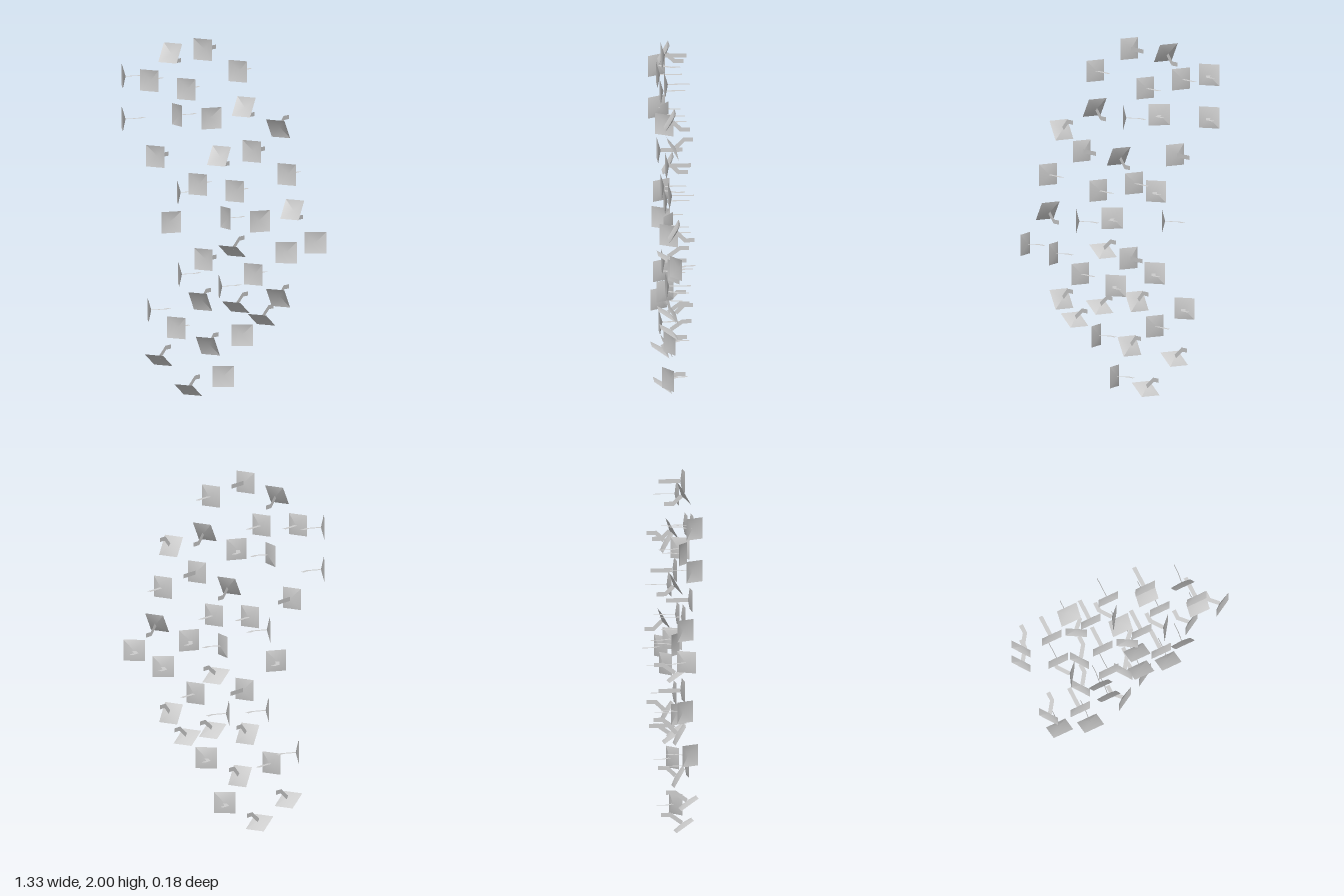
import * as THREE from 'three';

const SIZE = 0.119;      // plate edge length
const DISH = 0.018;      // depth of the plate's centre
const STRIP = 0.023;     // width of the flat stem
const BACK = -0.087;     // wall end of the stems

const material = new THREE.MeshStandardMaterial({ color: 0xcccccc, side: THREE.DoubleSide });

// tilt in degrees, turn = direction the tilted plate faces (0 = +x, 90 = up),
// z = plate centre, off = sideways shift of the stem, at = [x, y] centres
const sets = [
  { tilt: 0, turn: 0, z: 0.052, off: 0, at: [
    [0.125, 1.837], [-0.45, 1.742], [-0.21, 1.712], [0.442, 1.285],
    [-0.135, 1.187], [0.105, 1.167], [0.225, 0.712], [-0.275, 0.377]] },
  { tilt: 0, turn: 90, z: 0.052, off: 0, at: [
    [-0.103, 1.941], [0.215, 1.397], [-0.41, 1.322], [-0.098, 0.771]] },
  { tilt: 30, turn: 90, z: 0.025, off: 0.053, at: [
    [-0.33, 1.902], [0.147, 1.637], [-0.014, 1.351], [0.462, 1.087]] },
  { tilt: 30, turn: 270, z: 0.025, off: 0.053, at: [
    [0.37, 1.531], [0.37, 0.587], [-0.135, 0.53], [-0.086, 0.286]] },
  { tilt: 30, turn: 180, z: 0.025, off: 0.053, at: [[-0.287, 1.56], [0.028, 1.009]] },
  { tilt: 30, turn: 0, z: 0.025, off: 0.053, at: [
    [0.613, 0.914], [0.423, 0.845], [0.136, 0.363], [0.015, 0.124]] },
  { tilt: 55, turn: 180, z: 0.04, off: 0.061, at: [
    [-0.632, 1.751], [-0.632, 1.513], [-0.274, 1.131], [-0.266, 0.675], [-0.004, 0.627], [-0.465, 0.461]] },
  { tilt: 55, turn: 0, z: 0.04, off: 0.061, at: [[-0.054, 1.56], [0.261, 1.009], [-0.314, 0.961]] },
  { tilt: 55, turn: 270, z: 0.04, off: 0.061, at: [
    [0.081, 0.829], [0.104, 0.519], [0.272, 0.461], [-0.396, 0.186], [-0.205, 0.034]] },
];

// Square plate of four triangles whose centre is pushed back into a shallow dish
function plateGeometry(tilt, z) {
  const g = new THREE.CircleGeometry(SIZE / Math.SQRT2, 4, Math.PI / 4);
  g.attributes.position.setZ(0, -DISH);
  g.computeVertexNormals();
  return g.rotateY(tilt).translate(0, 0, z);
}

// Flat strip: straight out from the wall, then a mitred bend to the plate's centre
function stemGeometry(tilt, z, off) {
  const path = [
    new THREE.Vector2(-off, BACK),
    new THREE.Vector2(-off, -0.036),
    new THREE.Vector2(-Math.sin(tilt) * DISH, z - Math.cos(tilt) * DISH),
  ];
  const d = path[2].clone().sub(path[1]).normalize();
  const n0 = new THREE.Vector2(1, 0);
  const n1 = new THREE.Vector2(d.y, -d.x);
  const miter = n0.clone().add(n1).divideScalar(1 + n0.dot(n1));
  const sides = [n0, miter, n1];
  const edge = (s) => path.map((p, i) => p.clone().addScaledVector(sides[i], s * STRIP / 2));
  const shape = new THREE.Shape([...edge(1), ...edge(-1).reverse()]);
  return new THREE.ShapeGeometry(shape).rotateX(Math.PI / 2);
}

export function createModel() {
  const model = new THREE.Group();
  model.name = 'wallPlates';
  for (const { tilt, turn, z, off, at } of sets) {
    const angle = THREE.MathUtils.degToRad(tilt);
    const plateGeo = plateGeometry(angle, z);
    const stemGeo = stemGeometry(angle, z, off);
    for (const [x, y] of at) {
      const hook = new THREE.Group();
      hook.name = 'hook';
      const plate = new THREE.Mesh(plateGeo, material);
      plate.name = 'plate';
      const stem = new THREE.Mesh(stemGeo, material);
      stem.name = 'stem';
      hook.add(plate, stem);
      hook.rotation.z = THREE.MathUtils.degToRad(turn);
      hook.position.set(x, y, 0);
      model.add(hook);
    }
  }
  return model;
}
